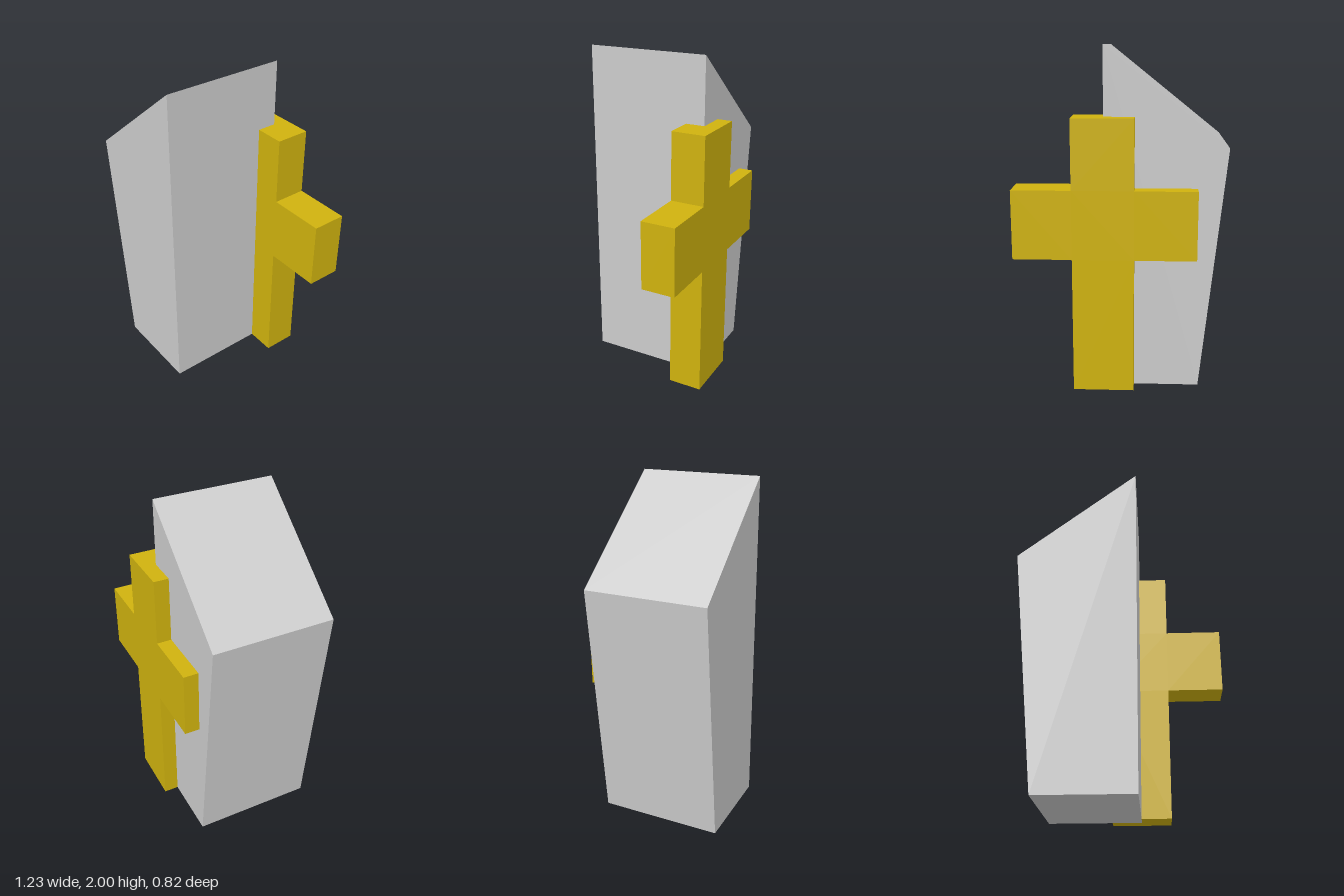
import * as THREE from 'three';

// Extrudes an outline of [x, y] corners from zBack to zFront
function slab(name, corners, zBack, zFront, color) {
  const shape = new THREE.Shape(corners.map(([x, y]) => new THREE.Vector2(x, y)));
  const geometry = new THREE.ExtrudeGeometry(shape, { depth: zFront - zBack, bevelEnabled: false });
  geometry.translate(0, 0, zBack);
  const mesh = new THREE.Mesh(geometry, new THREE.MeshStandardMaterial({ color }));
  mesh.name = name;
  return mesh;
}

export function createModel() {
  const group = new THREE.Group();
  group.name = 'slabWithCross';

  // Leaning block with a slanted top
  group.add(slab('stoneBlock', [
    [-0.465, 0], [0.095, 0], [0.095, 2], [-0.613, 1.435],
  ], -0.322, 0.41, 0xcccccc));

  // Cross set into the back of the block
  const postLeft = -0.082, postRight = 0.272, armLeft = -0.44, armRight = 0.613;
  const armBottom = 0.803, armTop = 1.205, top = 1.608;
  group.add(slab('cross', [
    [postLeft, 0], [postRight, 0],
    [postRight, armBottom], [armRight, armBottom], [armRight, armTop], [postRight, armTop],
    [postRight, top], [postLeft, top],
    [postLeft, armTop], [armLeft, armTop], [armLeft, armBottom], [postLeft, armBottom],
  ], -0.411, -0.208, 0xcfb20e));

  return group;
}
